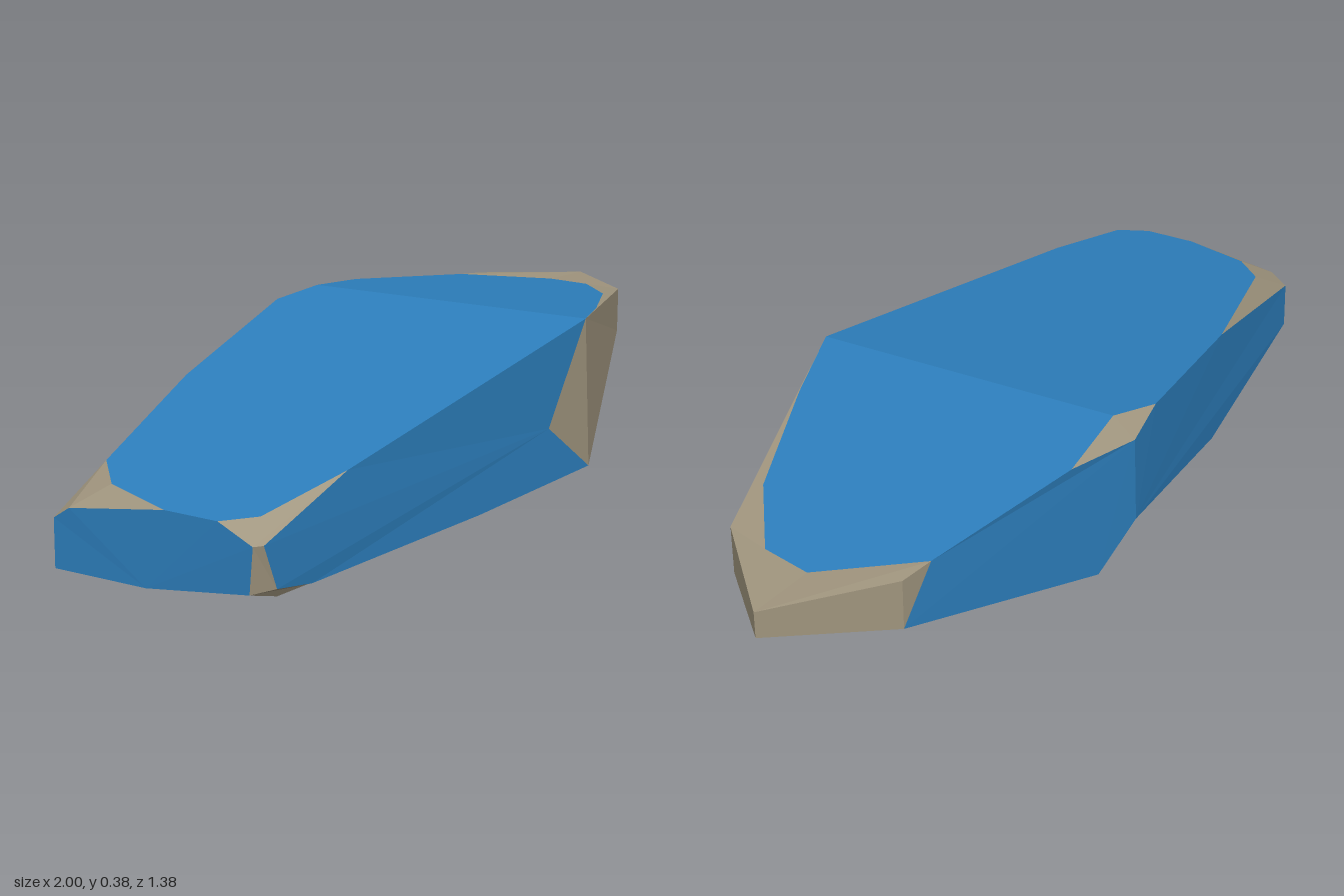
import * as THREE from 'three';

// Distance of a plan point from the ridge that crosses the stone
const across = (x, z) => (x - 0.43) * 0.864 - (z - 0.2) * 0.503;

// Points lying on the four broad sloping planes, given in plan
const topRight = (x, z) => [x, 0.385 - 0.124 * across(x, z), z];
const topLeft = (x, z) => [x, 0.385 + 0.15 * across(x, z), z];
const underRight = (x, z) => [x, 0.268 * ((x - 0.45) * 0.856 - (z - 0.2) * 0.516), z];
const underLeft = (x, z) => [x, Math.max(0, (0.3 - x) * 0.009), z];

const centre = new THREE.Vector3(0, 0.19, 0);

// Flat polygons, each fanned from its first corner and turned outward
function facets(name, material, polygons) {
  const positions = [];
  for (const polygon of polygons) {
    const pts = polygon.map(p => new THREE.Vector3(...p));
    const normal = new THREE.Vector3();
    const middle = new THREE.Vector3();
    pts.forEach((p, i) => {
      normal.add(p.clone().cross(pts[(i + 1) % pts.length]));
      middle.addScaledVector(p, 1 / pts.length);
    });
    if (normal.dot(middle.sub(centre)) < 0) pts.push(pts.shift()), pts.reverse();
    for (let i = 1; i < pts.length - 1; i++) {
      for (const p of [pts[0], pts[i], pts[i + 1]]) positions.push(p.x, p.y, p.z);
    }
  }
  const geometry = new THREE.BufferGeometry();
  geometry.setAttribute('position', new THREE.Float32BufferAttribute(positions, 3));
  geometry.computeVertexNormals();
  const mesh = new THREE.Mesh(geometry, material);
  mesh.name = name;
  return mesh;
}

export function createModel() {
  const blue = new THREE.MeshStandardMaterial({ color: 0x2d7fbd });
  blue.name = 'blue';
  const tan = new THREE.MeshStandardMaterial({ color: 0xa0957e });
  tan.name = 'tan';

  // Ridge and keel ends
  const apex = [0.43, 0.385, 0.2], ridgeBack = [0.04, 0.385, -0.47];
  const keel = [0.45, 0, 0.2], keelBack = [0.07, 0, -0.43];

  // Pointed right end
  const noseTop = [0.92, 0.3, -0.32], noseLow = [0.92, 0.18, -0.32];
  const tipTop = [1, 0.285, -0.61], tipLow = [1, 0.22, -0.61];
  const backTop = [0.7, 0.302, -0.69], backLow = [0.7, 0.18, -0.69];
  const rimBack = topRight(0.62, -0.668);
  const rimA = topRight(0.85, -0.55), rimB = topRight(0.89, -0.43);
  const rimC = topRight(0.8, -0.23), rimFront = topRight(0.58, 0.038);
  const lowRimA = underRight(0.91, -0.52), lowRimB = underRight(0.86, -0.37);

  // Back corner with its upper and lower chips
  const chipRight = topRight(0.22, -0.58), chipLeft = topLeft(-0.09, -0.45);
  const chipTip = [0.02, 0.346, -0.53];
  const lowChipRight = [0.13, 0.035, -0.56], lowChipTop = [0.01, 0.13, -0.53];
  const lowChipLeft = underLeft(-0.47, -0.166);

  // Blunt left end
  const stripStart = topLeft(-0.5, -0.144);
  const edgeA = topLeft(-0.85, 0.18), edgeB = topLeft(-0.89, 0.3), edgeC = topLeft(-0.855, 0.49);
  const cornerTop = [-1, 0.13, 0.235], cornerLow = underLeft(-1, 0.23);
  const cornerRidge = [-0.98, 0.16, 0.275];
  const endTop = topLeft(-0.79, 0.61), endFront = topLeft(-0.71, 0.648);
  const frontChip = topLeft(-0.46, 0.572);
  const postTopL = [-0.748, 0.155, 0.685], postTopR = [-0.725, 0.155, 0.69];
  const postLowL = [-0.75, 0.045, 0.67], postLowR = [-0.69, 0.05, 0.678];
  const footLeft = underLeft(-0.88, 0.44), footFront = underLeft(-0.66, 0.62);
  const footMid = [-0.58, 0.025, 0.628], footEnd = [0, 0.003, 0.387];

  // Tan wedge on the front face
  const wedge = [0.28, 0.14, 0.264];

  const stone = new THREE.Group();
  stone.name = 'facetedStone';
  stone.add(
    // Blue faces
    facets('topFaces', blue, [
      [apex, ridgeBack, chipRight, rimBack, rimA, rimB, rimC, rimFront],
      [apex, ridgeBack, chipLeft, stripStart, edgeA, edgeB, edgeC, endTop, endFront, frontChip],
    ]),
    facets('frontFace', blue, [
      [wedge, keel, footEnd, footMid, postLowR, postTopR, frontChip, apex],
    ]),
    facets('leftEndFace', blue, [
      [footLeft, cornerLow, cornerTop, cornerRidge, edgeC, endTop, postTopL, postLowL],
    ]),
    facets('backFaces', blue, [
      [chipTip, chipRight, rimBack, backLow, lowChipRight, lowChipTop],
      [lowChipTop, chipTip, chipLeft, stripStart, cornerTop, cornerLow, lowChipLeft],
    ]),
    facets('undersideFaces', blue, [
      [keel, keelBack, lowChipRight, backLow, lowRimA, lowRimB],
      [keel, keelBack, lowChipLeft, cornerLow, footLeft, footFront, footEnd],
    ]),
    // Bare faces around the right end
    facets('rightEndFaces', tan, [
      [apex, keel, noseLow, noseTop, rimFront],
      [noseTop, noseLow, tipLow, tipTop],
      [tipTop, tipLow, backLow, backTop],
      [backTop, backLow, rimBack],
    ]),
    facets('frontWedge', tan, [[apex, wedge, keel]]),
    facets('upperRim', tan, [
      [rimBack, backTop, tipTop, rimA], [rimA, tipTop, rimB],
      [rimB, tipTop, noseTop], [rimB, noseTop, rimC], [rimC, noseTop, rimFront],
    ]),
    facets('lowerRim', tan, [
      [backLow, tipLow, lowRimA], [lowRimA, tipLow, noseLow, lowRimB],
      [lowRimB, noseLow, keel],
    ]),
    // Bare chips along the other edges
    facets('backChips', tan, [
      [ridgeBack, chipRight, chipTip, chipLeft],
      [keelBack, lowChipRight, lowChipTop, lowChipLeft],
    ]),
    facets('leftCornerChip', tan, [
      [stripStart, edgeA, cornerTop], [edgeA, edgeB, cornerRidge, cornerTop],
      [edgeB, edgeC, cornerRidge],
    ]),
    facets('frontCornerChips', tan, [
      [frontChip, endFront, endTop, postTopL, postTopR],
      [postTopL, postTopR, postLowR, postLowL],
      [postLowL, postLowR, footMid, footEnd, footFront, footLeft],
    ]),
  );
  return stone;
}
